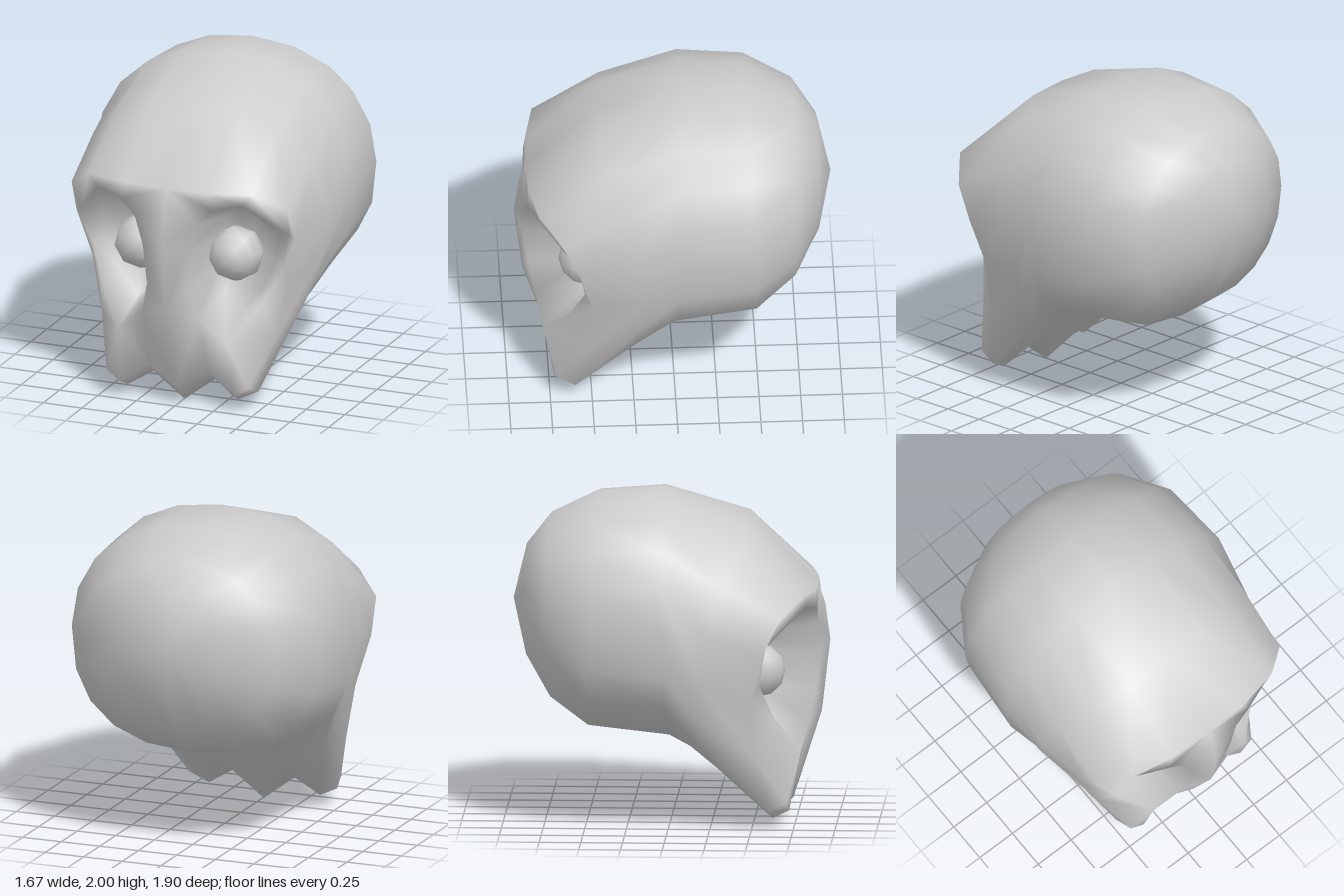
import * as THREE from 'three';
import { mergeVertices } from 'three/addons/utils/BufferGeometryUtils.js';

const V = (x, y, z) => new THREE.Vector3(x, y, z);
const points = rows => rows.map(p => V(...p));

// Collects triangles of the +x half together with their mirror images
function mirroredSurface() {
  const pos = [];
  const tri = (a, b, c) => {
    if (a.equals(b) || b.equals(c) || c.equals(a)) return;
    for (const p of [a, b, c]) pos.push(p.x, p.y, p.z);
    for (const p of [a, c, b]) pos.push(-p.x, p.y, p.z);
  };
  return {
    strip(A, B) {
      for (let i = 0; i < A.length - 1; i++) {
        tri(A[i], B[i], B[i + 1]);
        tri(A[i], B[i + 1], A[i + 1]);
      }
    },
    build() {
      const g = new THREE.BufferGeometry();
      g.setAttribute('position', new THREE.Float32BufferAttribute(pos, 3));
      const merged = mergeVertices(g, 1e-4);
      merged.computeVertexNormals();
      return merged;
    },
  };
}

// Half of a rounded cranium section, from its top to its flatter bottom
function craniumRing([topZ, topY, botZ, botY, width, lowPower]) {
  const ring = [];
  const mid = (topY + botY) / 2, ry = (topY - botY) / 2;
  for (let i = 0; i <= 10; i++) {
    const a = (i / 10) * Math.PI;
    const s = i === 10 ? 0 : Math.sin(a), c = Math.cos(a);
    const power = c < 0 ? lowPower : 0.93;
    const h = Math.sign(c) * Math.pow(Math.abs(c), power);
    const t = (1 - h) / 2;
    ring.push(V(width * Math.pow(s, power), mid + ry * h, topZ + (botZ - topZ) * t));
  }
  return ring;
}

export function createModel() {
  const group = new THREE.Group();
  const material = new THREE.MeshStandardMaterial({ color: 0xcccccc, side: THREE.DoubleSide });
  const surface = mirroredSurface();

  // Cranium: sections from the back pole forward (topZ, topY, botZ, botY, width, lowPower)
  const rings = [
    [-0.95, 1.32, -0.95, 1.32, 0, 1],
    [-0.87, 1.65, -0.87, 0.98, 0.36, 0.95],
    [-0.73, 1.83, -0.72, 0.73, 0.63, 0.9],
    [-0.44, 1.97, -0.49, 0.57, 0.8, 0.82],
    [-0.05, 2.0, 0.0, 0.52, 0.835, 0.78],
  ].map(craniumRing);

  // Temples and the underside of the jaw
  rings.push(points([
    [0, 1.83, 0.47], [0.27, 1.82, 0.46], [0.52, 1.7, 0.42], [0.71, 1.5, 0.32],
    [0.78, 1.2, 0.25], [0.75, 0.92, 0.2], [0.67, 0.68, 0.2], [0.53, 0.44, 0.25],
    [0.36, 0.35, 0.29], [0.2, 0.36, 0.3], [0, 0.37, 0.3],
  ]));

  // Edge of the face: brow, cheek and tooth tips
  const edge = points([
    [0, 1.42, 0.88], [0.27, 1.42, 0.87], [0.53, 1.43, 0.82], [0.7, 1.31, 0.68],
    [0.71, 1.1, 0.58], [0.64, 0.8, 0.5], [0.57, 0.45, 0.52], [0.48, 0.11, 0.6],
    [0.36, 0.05, 0.62], [0.2, 0.15, 0.6], [0, 0, 0.6],
  ]);
  rings.push(edge);
  for (let i = 0; i < rings.length - 1; i++) surface.strip(rings[i], rings[i + 1]);

  // Front of the teeth
  const lip = points([[0.46, 0.16, 0.71], [0.37, 0.1, 0.72], [0.2, 0.22, 0.69], [0, 0.12, 0.73]]);
  surface.strip(edge.slice(6), [lip[0], ...lip]);

  // Face between its outline and the eye socket rim
  const [noseTop, nose, noseLow] = points([[0, 1.3, 0.92], [0, 1.08, 0.95], [0, 0.65, 0.9]]);
  const rim = points([
    [0.14, 1.05, 0.91], [0.2, 1.22, 0.89], [0.3, 1.32, 0.88], [0.47, 1.35, 0.82],
    [0.67, 1.13, 0.59], [0.62, 0.9, 0.55], [0.52, 0.68, 0.64], [0.35, 0.46, 0.79],
    [0.18, 0.6, 0.83], [0.13, 0.8, 0.87],
  ]);
  const facePairs = [
    [nose, 0], [noseTop, 1], [edge[0], 1], [edge[1], 2], [edge[2], 3], [edge[3], 4],
    [edge[4], 4], [edge[5], 5], [edge[6], 6], [lip[0], 7], [lip[1], 7], [lip[2], 7],
    [lip[2], 8], [lip[3], 8], [noseLow, 8], [noseLow, 9], [nose, 0],
  ];
  surface.strip(facePairs.map(p => p[0]), facePairs.map(p => rim[p[1]]));

  // Eye socket hollow
  const loop = [...rim, rim[0]];
  const inner = loop.map(p => V(0.33 + (p.x - 0.33) * 0.75, 0.94 + (p.y - 0.94) * 0.75, 0.5));
  surface.strip(loop, inner);
  surface.strip(inner, inner.map(() => V(0.32, 0.94, 0.36)));

  const skull = new THREE.Mesh(surface.build(), material);
  skull.name = 'skull';
  group.add(skull);

  // Eyeballs
  for (const side of [-1, 1]) {
    const eye = new THREE.Mesh(new THREE.SphereGeometry(0.17, 8, 6), material);
    eye.rotation.set(Math.PI / 2, 0.15, 0);
    eye.position.set(side * 0.305, 0.94, 0.525);
    eye.name = side > 0 ? 'leftEye' : 'rightEye';
    group.add(eye);
  }
  return group;
}
